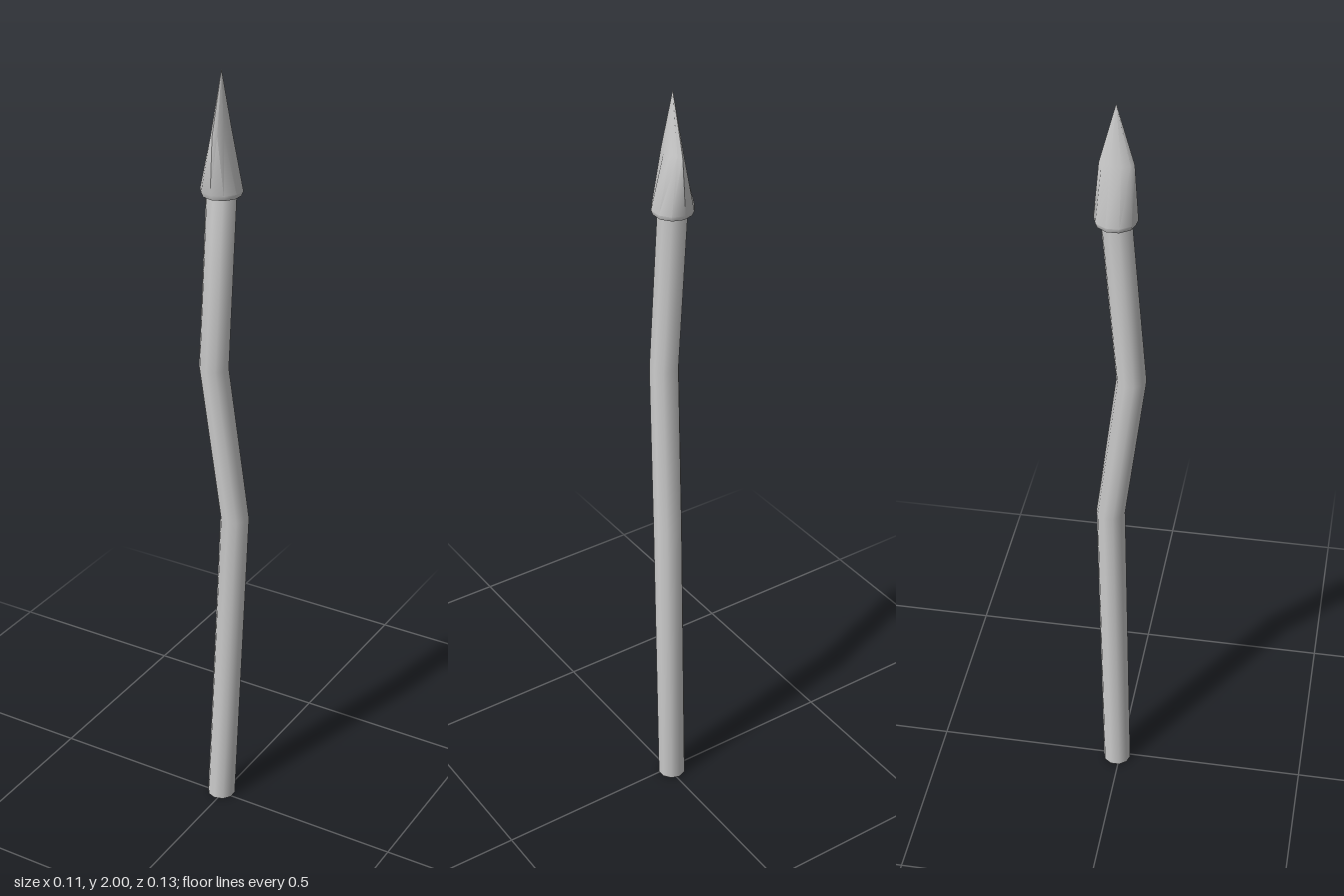
import * as THREE from 'three';
import { toCreasedNormals } from 'three/addons/utils/BufferGeometryUtils.js';

const SIDES = 10;

// Skin horizontal rings [x, y, z, radiusX, radiusZ], listed from bottom to top, with closed ends.
function loft(rings) {
  const pos = [], idx = [];
  for (const [x, y, z, rx, rz] of rings) {
    for (let i = 0; i < SIDES; i++) {
      const a = (i / SIDES) * Math.PI * 2;
      pos.push(x + Math.sin(a) * rx, y, z + Math.cos(a) * rz);
    }
  }
  for (let r = 0; r < rings.length - 1; r++) {
    for (let i = 0; i < SIDES; i++) {
      const a = r * SIDES + i, b = r * SIDES + (i + 1) % SIDES;
      idx.push(a, b, b + SIDES, a, b + SIDES, a + SIDES);
    }
  }
  // end caps
  const last = (rings.length - 1) * SIDES;
  for (let i = 1; i < SIDES - 1; i++) {
    idx.push(0, i + 1, i, last, last + i, last + i + 1);
  }
  const geo = new THREE.BufferGeometry();
  geo.setAttribute('position', new THREE.Float32BufferAttribute(pos, 3));
  geo.setIndex(idx);
  return toCreasedNormals(geo, 0.8);
}

export function createModel() {
  const group = new THREE.Group();
  const material = new THREE.MeshStandardMaterial({ color: 0xcccccc });
  const add = (name, rings) => {
    const mesh = new THREE.Mesh(loft(rings), material);
    mesh.name = name;
    group.add(mesh);
  };

  // crooked wooden shaft
  const r = 0.037;
  add('shaft', [
    [-0.008, 0, -0.008, r, r],
    [0.019, 0.85, -0.028, r, r],
    [-0.008, 1.28, 0.028, r, r],
    [-0.008, 1.71, -0.008, r, r],
  ]);

  // spear head: round socket flattening into a blade, then a point
  add('spearHead', [
    [-0.008, 1.705, -0.009, 0.047, 0.047],
    [-0.008, 1.717, -0.009, 0.052, 0.052],
    [-0.008, 1.855, -0.007, 0.015, 0.041],
    [-0.008, 2, -0.008, 0.0005, 0.0005],
  ]);
  return group;
}
